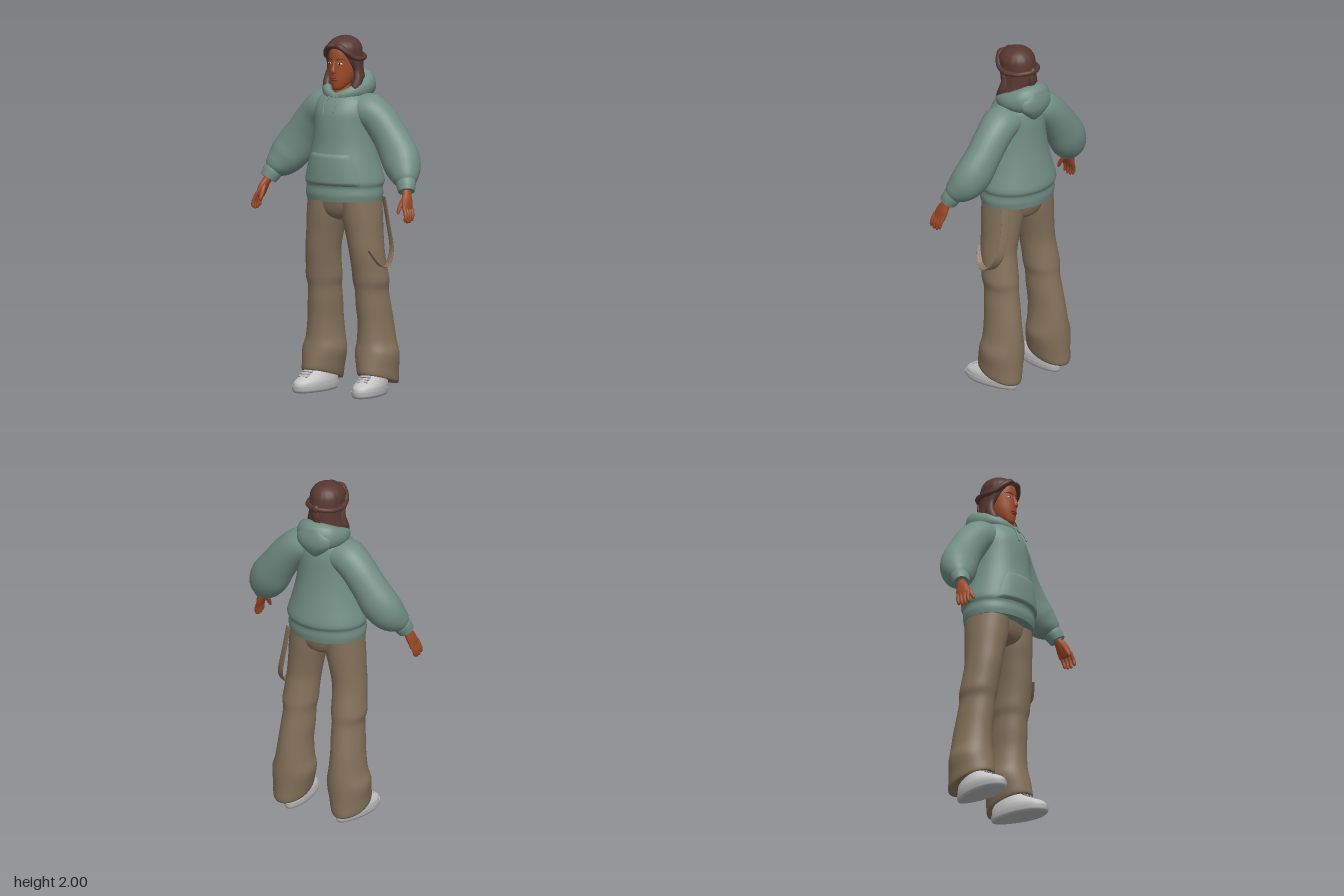
import * as THREE from 'three';

const paint = (name, color) => Object.assign(new THREE.MeshStandardMaterial({ color }), { name });

// Smooth interpolation of rows of numbers
function spline(rows, sub) {
  const out = [];
  const at = (i, c) => rows[Math.max(0, Math.min(rows.length - 1, i))][c];
  for (let i = 0; i < rows.length - 1; i++) for (let k = 0; k < sub; k++) {
    const t = k / sub, t2 = t * t, t3 = t2 * t;
    out.push(rows[i].map((p, c) => {
      const q = at(i + 1, c), m0 = (q - at(i - 1, c)) * 0.45, m1 = (at(i + 2, c) - p) * 0.45;
      return (2 * t3 - 3 * t2 + 1) * p + (t3 - 2 * t2 + t) * m0 + (3 * t2 - 2 * t3) * q + (t3 - t2) * m1;
    }));
  }
  out.push(rows[rows.length - 1]);
  return out;
}

// Surface through closed rings of points, with flat caps
function skin(rings, caps = true) {
  const n = rings[0].length, pos = [], idx = [];
  rings.forEach(r => r.forEach(p => pos.push(...p)));
  for (let i = 0; i < rings.length - 1; i++) for (let j = 0; j < n; j++) {
    const a = i * n + j, b = i * n + (j + 1) % n;
    idx.push(a, a + n, b + n, a, b + n, b);
  }
  if (caps) [rings[0], rings[rings.length - 1]].forEach((ring, end) => {
    const base = pos.length / 3;
    ring.forEach(p => pos.push(...p));
    pos.push(...[0, 1, 2].map(c => ring.reduce((s, p) => s + p[c], 0) / n));
    for (let j = 0; j < n; j++) {
      const a = base + j, b = base + (j + 1) % n;
      idx.push(base + n, end ? b : a, end ? a : b);
    }
  });
  const g = new THREE.BufferGeometry();
  g.setAttribute('position', new THREE.Float32BufferAttribute(pos, 3));
  g.setIndex(idx);
  g.computeVertexNormals();
  return g;
}

// Level oval sections, bottom to top: [x, y, z, radiusX, radiusZ, slope]; rule adjusts each point
function stack(rows, { n = 36, sub = 4, rule = p => p } = {}) {
  const full = rows.map(([x, y, z, rx, rz, slope = 0]) => [x, y, z, rx, rz, slope]);
  return skin(spline(full, sub).map(([x, y, z, rx, rz, slope]) => Array.from({ length: n }, (_, j) => {
    const a = j / n * Math.PI * 2, dz = Math.sin(a) * rz;
    return rule([x + Math.cos(a) * rx, y + dz * slope, z + dz], a);
  })));
}

// Oval tube along a path: [x, y, z, radiusAcross, radiusAlongHint]
function limb(rows, hint = [0, 0, 1], n = 14, sub = 4, caps = true) {
  const s = spline(rows, sub), P = s.map(r => new THREE.Vector3(r[0], r[1], r[2]));
  return skin(s.map((r, i) => {
    const t = P[Math.min(i + 1, P.length - 1)].clone().sub(P[Math.max(i - 1, 0)]).normalize();
    const v = new THREE.Vector3(...hint);
    v.addScaledVector(t, -v.dot(t)).normalize();
    const u = t.clone().cross(v);
    return Array.from({ length: n }, (_, j) => {
      const a = j / n * Math.PI * 2;
      return P[i].clone().addScaledVector(u, Math.cos(a) * r[3]).addScaledVector(v, Math.sin(a) * r[4]).toArray();
    });
  }), caps);
}

const ball = (x, y, z, rx, ry, rz) => new THREE.SphereGeometry(1, 24, 16).scale(rx, ry, rz).translate(x, y, z);

function mirrored(g) {
  const m = g.clone().scale(-1, 1, 1), ix = m.index.array;
  for (let i = 0; i < ix.length; i += 3) [ix[i], ix[i + 1]] = [ix[i + 1], ix[i]];
  m.computeVertexNormals();
  return m;
}

export function createModel() {
  const model = new THREE.Group();
  const cloth = paint('sage cloth', 0x718d83), trouser = paint('brown cotton', 0x83705a);
  const skinTone = paint('skin', 0x9c4a27), hair = paint('dark brown hair', 0x573731);
  const shoe = paint('pale grey leather', 0xc4c4c4), sole = paint('grey rubber', 0xb4b4b4);
  const lip = paint('lip', 0x85392a), white = paint('eye white', 0xd8d0c8), dark = paint('dark iris', 0x2a1a16);
  const add = (name, geo, mat) => {
    const m = new THREE.Mesh(geo, mat);
    m.name = name;
    model.add(m);
  };
  const both = (name, geo, mat) => {
    add('left' + name, geo, mat);
    add('right' + name, mirrored(geo), mat);
  };

  // Hoodie body
  const body = [
    [0, 1.09, 0.005, 0.222, 0.178], [0, 1.125, 0.005, 0.228, 0.184], [0, 1.165, 0.003, 0.224, 0.182],
    [0, 1.2, 0, 0.232, 0.192], [0, 1.3, 0.008, 0.205, 0.18], [0, 1.4, 0.01, 0.182, 0.163],
    [0, 1.5, 0.012, 0.17, 0.155], [0, 1.58, 0.01, 0.17, 0.148], [0, 1.64, 0.002, 0.158, 0.128],
    [0, 1.68, -0.005, 0.12, 0.1], [0, 1.69, -0.01, 0.06, 0.06]];
  add('hoodieBody', stack(body, { n: 48 }), cloth);

  // Front pouch pocket, following the curve of the body
  const dense = spline(body, 8);
  const frontZ = (x, y) => {
    const r = dense.find(d => d[1] >= y);
    return r[2] + r[4] * Math.sqrt(Math.max(0, 1 - (x / r[3]) ** 2));
  };
  const pouch = new THREE.PlaneGeometry(2, 1, 28, 14), pp = pouch.attributes.position;
  for (let i = 0; i < pp.count; i++) {
    const u = pp.getX(i), v = THREE.MathUtils.clamp(pp.getY(i) + 0.5, 0, 1);
    const x = u * (0.115 + 0.07 * Math.min(1, Math.pow(1 - v, 0.6) * 1.05)), y = 1.175 + v * 0.185;
    const edge = Math.abs(u) > 0.99 || v < 0.01 || v > 0.99;
    pp.setXYZ(i, x, y, frontZ(x, y) + (edge ? -0.006 : 0.012));
  }
  pouch.computeVertexNormals();
  add('pouchPocket', pouch, cloth);

  // Sleeves and ribbed cuffs
  both('Sleeve', limb([
    [0.06, 1.6, -0.01, 0.08, 0.1], [0.15, 1.585, -0.02, 0.1, 0.105], [0.22, 1.53, -0.03, 0.1, 0.098],
    [0.29, 1.44, -0.03, 0.103, 0.095], [0.35, 1.35, -0.02, 0.113, 0.098], [0.395, 1.285, 0.005, 0.103, 0.094],
    [0.432, 1.235, 0.04, 0.075, 0.07], [0.447, 1.21, 0.055, 0.05, 0.048]], [0, 0, 1], 28), cloth);
  both('Cuff', limb([[0.437, 1.235, 0.045, 0.054, 0.05], [0.45, 1.205, 0.06, 0.056, 0.052],
    [0.464, 1.17, 0.077, 0.047, 0.045]], [0, 0, 1], 24), cloth);

  // Lowered hood: collar roll thickening towards the back, plus hanging flap
  const half = [[0, 1.665, 0.098, 0.018, 0.022], [0.055, 1.68, 0.08, 0.022, 0.028], [0.098, 1.7, 0.03, 0.03, 0.04],
    [0.105, 1.712, -0.04, 0.04, 0.052], [0.07, 1.725, -0.105, 0.053, 0.072]];
  const rest = half.slice().reverse().map(([x, ...r]) => [-x, ...r]);
  add('hoodCollar', limb([...half, [0, 1.728, -0.126, 0.06, 0.08], ...rest], [0, 1, 0], 20, 6, false), cloth);
  add('hoodFlap', stack([[0, 1.6, -0.13, 0.01, 0.01], [0, 1.63, -0.135, 0.05, 0.03], [0, 1.68, -0.14, 0.1, 0.047],
    [0, 1.73, -0.138, 0.105, 0.05], [0, 1.78, -0.14, 0.06, 0.035]]), cloth);
  [[-1, 1.57], [1, 1.59]].forEach(([s, y]) => add(s < 0 ? 'rightDrawstring' : 'leftDrawstring',
    limb([[s * 0.025, 1.67, 0.115, 0.004, 0.004], [s * 0.038, 1.63, 0.148, 0.004, 0.004],
      [s * 0.035, y, 0.168, 0.005, 0.005]], [0, 0, 1], 8), cloth));

  // Trousers
  add('trouserSeat', stack([[0, 0.975, 0, 0.03, 0.06], [0, 1.0, 0, 0.12, 0.105], [0, 1.05, 0, 0.205, 0.125],
    [0, 1.13, 0, 0.21, 0.135]]), trouser);
  both('TrouserLeg', stack([
    [0.187, 0.115, -0.05, 0.07, 0.09, 0.28], [0.187, 0.085, -0.05, 0.098, 0.138, 0.28],
    [0.181, 0.15, -0.052, 0.11, 0.136, 0.2], [0.176, 0.23, -0.058, 0.122, 0.129, 0.1],
    [0.171, 0.3, -0.06, 0.105, 0.122], [0.168, 0.4, -0.055, 0.094, 0.115], [0.161, 0.5, -0.042, 0.092, 0.11],
    [0.157, 0.585, -0.032, 0.088, 0.106], [0.157, 0.64, -0.025, 0.098, 0.11], [0.153, 0.71, -0.014, 0.095, 0.109],
    [0.146, 0.8, 0, 0.095, 0.109], [0.132, 0.9, 0.002, 0.1, 0.116], [0.117, 1.0, 0.003, 0.109, 0.126],
    [0.11, 1.1, 0.002, 0.106, 0.132]]), trouser);

  // Hanging strap on the left thigh
  add('hangingStrap', limb([[0.19, 1.1, -0.1, 0.004, 0.022], [0.212, 0.95, -0.112, 0.004, 0.022],
    [0.24, 0.82, -0.105, 0.004, 0.024], [0.253, 0.745, -0.06, 0.004, 0.025], [0.258, 0.722, -0.01, 0.004, 0.026],
    [0.245, 0.745, 0.04, 0.004, 0.025], [0.205, 0.82, 0.08, 0.004, 0.022]], [1, 0, 0.5], 10, 6), trouser);

  // Shoes: turned slightly outward, wider at the toe
  const toe = ([x, y, z]) => [x * (1 + 1.1 * z), y, z];
  const place = g => g.rotateY(0.13).translate(0.182, 0, 0);
  both('ShoeSole', place(stack([[0, 0, 0.015, 0.062, 0.165], [0, 0.012, 0.016, 0.07, 0.174],
    [0, 0.036, 0.016, 0.071, 0.176]], { rule: toe })), sole);
  both('ShoeUpper', place(stack([[0, 0.03, 0.015, 0.068, 0.17], [0, 0.058, 0.012, 0.069, 0.166],
    [0, 0.085, -0.008, 0.063, 0.142], [0, 0.115, -0.035, 0.054, 0.105], [0, 0.15, -0.06, 0.046, 0.075]],
  { rule: toe })), shoe);
  for (let i = 0; i < 4; i++) both('ShoeLace' + (i + 1), place(new THREE.BoxGeometry(0.062, 0.008, 0.012)
    .rotateX(0.65).translate(0, 0.088 + i * 0.012, 0.122 - i * 0.02)), sole);

  // Hands
  both('Palm', limb([[0.452, 1.2, 0.062, 0.026, 0.028], [0.467, 1.165, 0.08, 0.023, 0.027],
    [0.482, 1.125, 0.097, 0.021, 0.04], [0.495, 1.08, 0.11, 0.014, 0.043], [0.498, 1.07, 0.112, 0.008, 0.035]]), skinTone);
  for (let i = 0; i < 4; i++) {
    const z = 0.077 + i * 0.022, tipY = 1.0 + 0.009 * Math.abs(i - 1.5);
    both('Finger' + (i + 1), limb([[0.492, 1.095, z, 0.011, 0.011], [0.51, 1.05, z + 0.009, 0.011, 0.011],
      [0.511, tipY + 0.01, z + 0.015, 0.009, 0.009], [0.508, tipY, z + 0.016, 0.004, 0.004]], [0, 0, 1], 8), skinTone);
  }
  both('Thumb', limb([[0.472, 1.145, 0.1, 0.014, 0.014], [0.464, 1.105, 0.132, 0.013, 0.013],
    [0.462, 1.07, 0.153, 0.01, 0.01], [0.464, 1.055, 0.16, 0.005, 0.005]], [0, 0, 1], 8), skinTone);

  // Head and neck
  add('neck', stack([[0, 1.6, 0.015, 0.065, 0.065], [0, 1.68, 0.02, 0.052, 0.056], [0, 1.79, 0.01, 0.05, 0.055]]), skinTone);
  add('head', stack([[0, 1.703, 0.075, 0.015, 0.018], [0, 1.715, 0.063, 0.034, 0.04], [0, 1.745, 0.04, 0.055, 0.068],
    [0, 1.785, 0.025, 0.069, 0.086], [0, 1.83, 0.015, 0.076, 0.095], [0, 1.87, 0.014, 0.078, 0.096],
    [0, 1.92, 0.012, 0.076, 0.094], [0, 1.96, 0.008, 0.062, 0.074], [0, 1.985, 0, 0.03, 0.035]]), skinTone);
  add('nose', limb([[0, 1.872, 0.102, 0.007, 0.007], [0, 1.835, 0.113, 0.009, 0.01], [0, 1.812, 0.12, 0.014, 0.013],
    [0, 1.8, 0.113, 0.014, 0.009]]), skinTone);
  add('upperLip', ball(0, 1.772, 0.109, 0.024, 0.006, 0.008), lip);
  add('lowerLip', ball(0, 1.762, 0.107, 0.02, 0.007, 0.009), lip);
  both('Ear', ball(0.079, 1.835, 0.015, 0.009, 0.03, 0.018), skinTone);
  both('Eye', ball(0, 0, 0, 0.015, 0.006, 0.004).rotateY(0.3).translate(0.034, 1.853, 0.101), white);
  both('Iris', ball(0.033, 1.853, 0.104, 0.0055, 0.0055, 0.003), dark);
  both('Eyebrow', limb([[0.014, 1.874, 0.109, 0.004, 0.003], [0.036, 1.881, 0.1, 0.004, 0.003],
    [0.056, 1.874, 0.085, 0.002, 0.002]], [0, 0, 1], 8), hair);

  // Hair: shell cut away in front of the face
  const hairline = y => (y > 1.94 ? 1 : y > 1.8 ? 0.02 + (y - 1.8) * 0.6 : 0.02);
  add('hairShell', stack([[0, 1.64, -0.025, 0.07, 0.06], [0, 1.69, -0.02, 0.1, 0.075], [0, 1.75, -0.018, 0.108, 0.086],
    [0, 1.81, -0.01, 0.098, 0.098], [0, 1.86, -0.002, 0.096, 0.106], [0, 1.9, 0.004, 0.097, 0.108],
    [0, 1.94, 0.007, 0.094, 0.103], [0, 1.972, 0.004, 0.074, 0.08], [0, 1.992, 0, 0.042, 0.046],
    [0, 2.0, -0.002, 0.008, 0.01]], {
    n: 60, rule: ([x, y, z], a) => {
      const k = y < 1.97 ? 1 + 0.012 * Math.cos(a * 15) : 1;
      return [x * k, y, Math.min(z * k, hairline(y))];
    }
  }), hair);
  // Strands swept from the parting to a tie at the back
  both('SweptStrand', limb([[0.002, 1.952, 0.1, 0.012, 0.01], [0.035, 1.948, 0.102, 0.018, 0.015],
    [0.068, 1.918, 0.08, 0.02, 0.016], [0.09, 1.885, 0.045, 0.018, 0.016], [0.1, 1.875, -0.01, 0.016, 0.014],
    [0.077, 1.878, -0.075, 0.016, 0.014], [0.03, 1.885, -0.115, 0.015, 0.014],
    [0, 1.888, -0.122, 0.012, 0.012]], [0, 1, 0.3], 12), hair);
  add('hairTie', ball(0, 1.888, -0.122, 0.022, 0.024, 0.018), hair);
  add('hairTail', limb([[0, 1.885, -0.118, 0.016, 0.014], [0, 1.84, -0.12, 0.026, 0.015],
    [0, 1.78, -0.108, 0.02, 0.012], [0, 1.74, -0.1, 0.006, 0.006]]), hair);
  both('SideLock', limb([[0.085, 1.88, 0.04, 0.012, 0.018], [0.091, 1.82, 0.01, 0.015, 0.024],
    [0.1, 1.76, 0.015, 0.022, 0.03], [0.092, 1.71, 0.04, 0.024, 0.028], [0.07, 1.665, 0.065, 0.008, 0.01]]), hair);

  return model;
}
